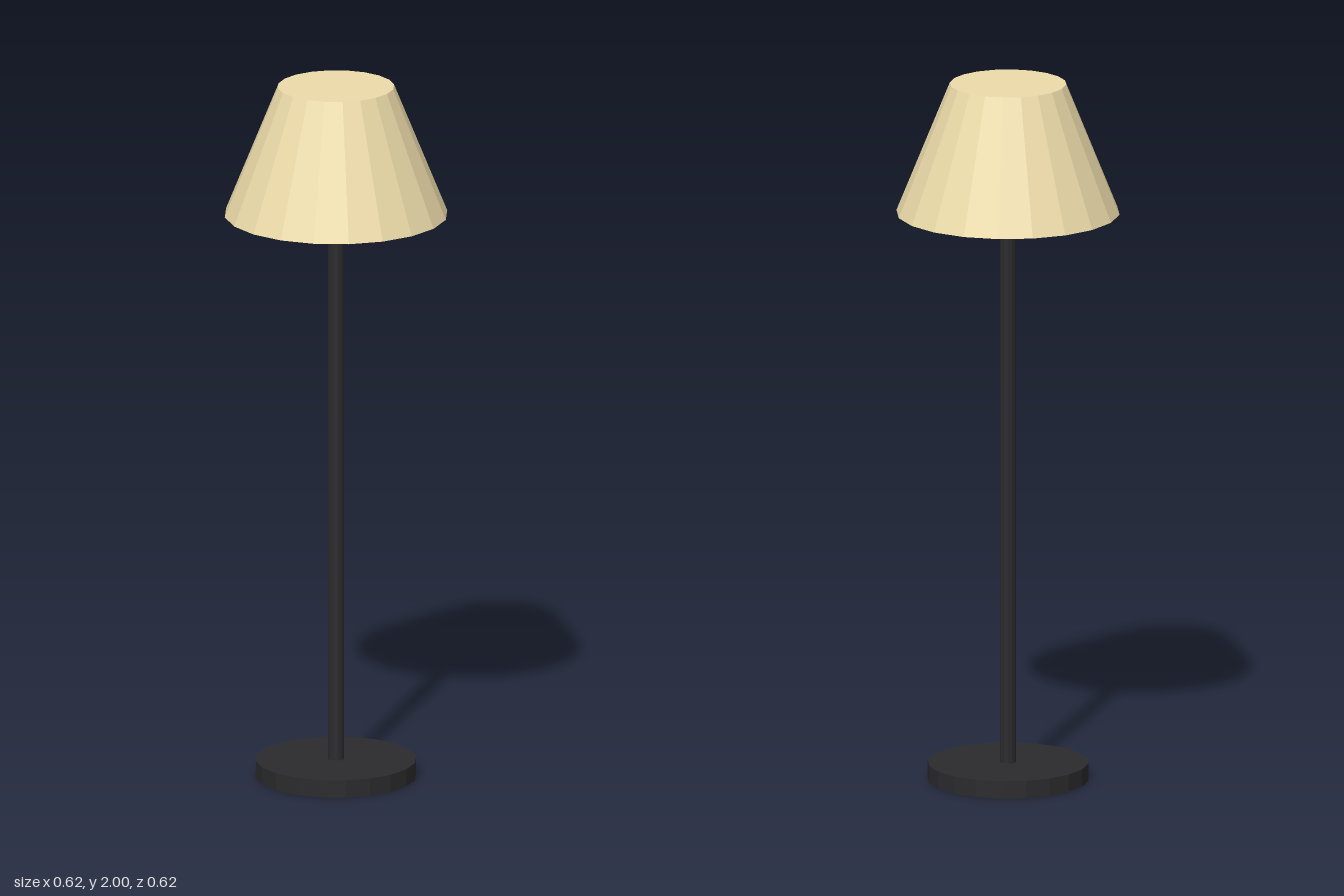
import * as THREE from 'three';

export function createModel() {
  const lamp = new THREE.Group();
  lamp.name = 'floorLamp';

  const darkMetal = new THREE.MeshStandardMaterial({ color: 0x2b2b2d, flatShading: true });
  const fabric = new THREE.MeshStandardMaterial({ color: 0xeddcaa, flatShading: true });

  // Closed round part standing between two heights
  function addRound(name, topRadius, bottomRadius, y0, y1, sides, material) {
    const geometry = new THREE.CylinderGeometry(topRadius, bottomRadius, y1 - y0, sides);
    const mesh = new THREE.Mesh(geometry, material);
    mesh.name = name;
    mesh.position.y = (y0 + y1) / 2;
    lamp.add(mesh);
  }

  addRound('base', 0.225, 0.225, 0, 0.05, 20, darkMetal);
  addRound('pole', 0.0225, 0.0225, 0.05, 1.64, 12, darkMetal);
  addRound('shade', 0.163, 0.3125, 1.63, 2, 20, fabric);

  return lamp;
}
